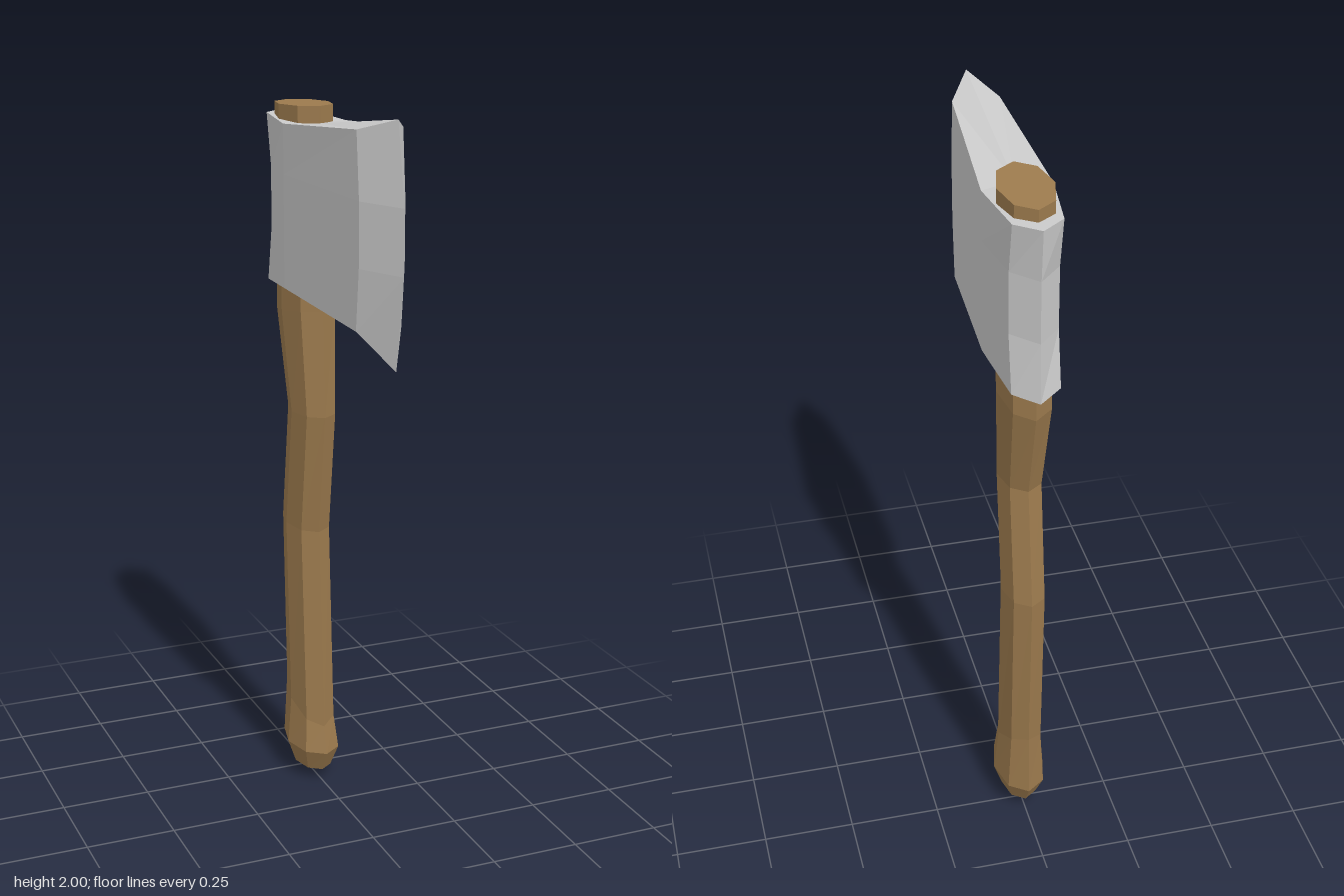
import * as THREE from 'three';

// Skins rings of [x, y, z] points (bottom to top) and closes both ends with a fan to a centre point.
function loft(rings, bottom, top) {
  const pos = [];
  const tri = (a, b, c) => pos.push(...a, ...b, ...c);
  const n = rings[0].length;
  for (let i = 0; i < n; i++) {
    const j = (i + 1) % n;
    for (let r = 0; r < rings.length - 1; r++) {
      const lo = rings[r], hi = rings[r + 1];
      tri(lo[i], lo[j], hi[j]);
      tri(lo[i], hi[j], hi[i]);
    }
    tri(bottom, rings[0][j], rings[0][i]);
    const last = rings[rings.length - 1];
    tri(top, last[i], last[j]);
  }
  const geometry = new THREE.BufferGeometry();
  geometry.setAttribute('position', new THREE.Float32BufferAttribute(pos, 3));
  geometry.computeVertexNormals();
  return geometry;
}

// Eight-sided oval ring, tilted so its front and back points sit at their own heights.
function ovalRing([halfWidth, frontY, frontZ, backY, backZ]) {
  return Array.from({ length: 8 }, (_, i) => {
    const a = (i / 8) * Math.PI * 2;
    const t = (1 - Math.cos(a)) / 2;
    return [
      halfWidth * Math.sin(a),
      THREE.MathUtils.lerp(frontY, backY, t),
      THREE.MathUtils.lerp(frontZ, backZ, t),
    ];
  });
}

// Mirrors a half outline (cutting edge, cheek, eye, poll corner, poll) into a closed ring.
function headRing(half) {
  const widths = [0, 0.063, 0.09, 0.063, 0];
  const side = half.map(([y, z], i) => [widths[i], y, z]);
  const mirrored = side.slice(1, 4).reverse().map(([x, y, z]) => [-x, y, z]);
  return [...side, ...mirrored];
}

export function createModel() {
  const group = new THREE.Group();
  const add = (name, geometry, color) => {
    const material = new THREE.MeshStandardMaterial({ color, flatShading: true });
    const mesh = new THREE.Mesh(geometry, material);
    mesh.name = name;
    group.add(mesh);
  };

  // Curved wooden handle: half width, front y, front z, back y, back z
  const handle = [
    [0.05, 0.035, -0.127, 0.035, -0.302],
    [0.072, 0.10, -0.092, 0.10, -0.341],
    [0.06, 0.18, -0.112, 0.29, -0.333],
    [0.06, 0.77, -0.147, 0.78, -0.352],
    [0.06, 1.12, -0.10, 1.12, -0.303],
    [0.071, 1.42, -0.114, 1.38, -0.371],
    [0.072, 1.972, -0.128, 1.962, -0.372],
  ].map(ovalRing);
  add('handle', loft(handle, [0, 0, -0.217], [0, 1.967, -0.25]), 0x9d7b4e);

  // Axe head: each row lists [y, z] from cutting edge back to poll
  const head = [
    [[1.37, 0.376], [1.455, 0.265], [1.48, -0.17], [1.465, -0.367], [1.455, -0.413]],
    [[1.62, 0.417], [1.62, 0.282], [1.62, -0.17], [1.62, -0.337], [1.62, -0.404]],
    [[1.79, 0.417], [1.79, 0.282], [1.79, -0.17], [1.79, -0.337], [1.79, -0.404]],
    [[2.0, 0.376], [1.965, 0.265], [1.925, -0.17], [1.93, -0.367], [1.93, -0.417]],
  ].map(headRing);
  add('axeHead', loft(head, [0, 1.48, -0.14], [0, 1.925, -0.14]), 0xcccccc);

  return group;
}
